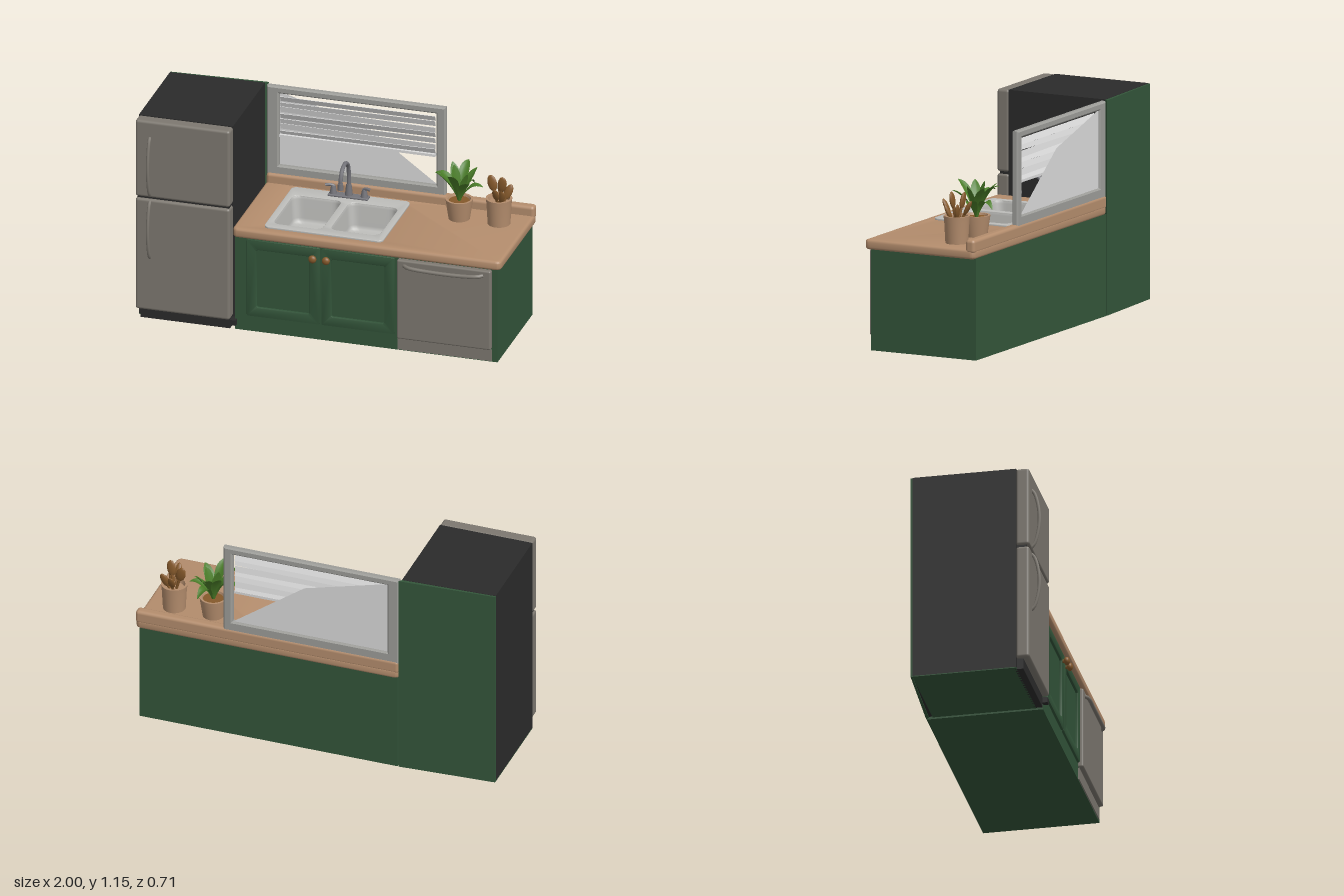
import * as THREE from 'three';
import { toCreasedNormals } from 'three/addons/utils/BufferGeometryUtils.js';
import { RoundedBoxGeometry } from 'three/addons/geometries/RoundedBoxGeometry.js';

const mat = (name, color, side = THREE.FrontSide) => {
  const m = new THREE.MeshStandardMaterial({ color, side });
  m.name = name;
  return m;
};

export function createModel() {
  const tan = mat('tan counter', 0xb48d6d);
  const green = mat('cabinet green', 0x33553a);
  const black = mat('fridge black', 0x2b2b2b);
  const steel = mat('brushed steel', 0x7d7870);
  const white = mat('blind white', 0xdadada, THREE.DoubleSide);
  const grey = mat('frame grey', 0x9c9c98);
  const sinkGrey = mat('sink grey', 0xbcbcb9, THREE.DoubleSide);
  const chrome = mat('tap metal', 0x74747a);
  const wood = mat('wood brown', 0x85592b);
  const leafGreen = mat('leaf green', 0x4a7d28, THREE.DoubleSide);

  const root = new THREE.Group();
  const add = (name, geo, material, x = 0, y = 0, z = 0, parent = root) => {
    const m = new THREE.Mesh(geo, material);
    m.name = name;
    m.position.set(x, y, z);
    parent.add(m);
    return m;
  };
  // box given by its limits, with optional rounded edges
  const block = (name, material, x0, x1, y0, y1, z0, z1, r = 0) => {
    const s = [x1 - x0, y1 - y0, z1 - z0];
    const g = r ? new RoundedBoxGeometry(...s, 3, r) : new THREE.BoxGeometry(...s);
    return add(name, g, material, (x0 + x1) / 2, (y0 + y1) / 2, (z0 + z1) / 2);
  };
  const poly = (pts) => new THREE.Shape(pts.map((p) => new THREE.Vector2(...p)));
  const roundRect = (x0, x1, y0, y1, r) => {
    const s = new THREE.Shape();
    s.absarc(x1 - r, y1 - r, r, 0, Math.PI / 2);
    s.absarc(x0 + r, y1 - r, r, Math.PI / 2, Math.PI);
    s.absarc(x0 + r, y0 + r, r, Math.PI, Math.PI * 1.5);
    s.absarc(x1 - r, y0 + r, r, Math.PI * 1.5, Math.PI * 2);
    s.closePath();
    return s;
  };
  // plan outlines use (x, -z) and are extruded upwards
  const slab = (shape, depth, bevel = 0) => {
    const g = new THREE.ExtrudeGeometry(shape, {
      depth: depth - 2 * bevel, bevelEnabled: bevel > 0, bevelSize: bevel,
      bevelThickness: bevel, bevelOffset: -bevel, bevelSegments: 3, curveSegments: 6,
    });
    g.translate(0, 0, bevel).rotateX(-Math.PI / 2);
    return toCreasedNormals(g, 0.7);
  };
  const tube = (pts, r, n = 20) => new THREE.TubeGeometry(
    new THREE.CatmullRomCurve3(pts.map((p) => new THREE.Vector3(...p))), n, r, 8);

  // Fridge: dark body, green back panel, two doors with bowed handles
  add('fridgeBody', slab(poly([[-1, -0.24], [-0.485, -0.24], [-0.485, 0.335], [-1, 0.315]]), 1.145), black, 0, 0.005);
  add('fridgeBack', slab(poly([[-1, 0.315], [-0.485, 0.335], [-0.47, 0.353], [-1, 0.325]]), 1.148), green);
  block('fridgeUnderside', green, -1, -0.485, 0, 0.005, -0.315, 0.24);
  block('fridgeBase', black, -0.98, -0.49, 0, 0.06, 0.23, 0.275);
  block('fridgeDoor', steel, -1, -0.482, 0.06, 0.7, 0.238, 0.31, 0.015);
  block('freezerDoor', steel, -1, -0.482, 0.71, 1.15, 0.238, 0.31, 0.015);
  block('doorSeal', black, -0.99, -0.49, 0.69, 0.72, 0.235, 0.295);
  block('fridgeHinge', black, -0.485, -0.452, 0.03, 0.06, 0.25, 0.3);
  for (const [name, a, b] of [['fridgeHandle', 0.36, 0.69], ['freezerHandle', 0.72, 1.06]]) {
    const d = b - a;
    add(name, tube([[-0.92, a, 0.3], [-0.92, a + 0.06 * d, 0.32], [-0.92, a + d * 0.35, 0.345],
      [-0.92, a + d * 0.65, 0.345], [-0.92, b - 0.06 * d, 0.32], [-0.92, b, 0.3]], 0.009), steel);
  }

  // Cabinet: closed walls without a lid, so the bowls hang inside
  const body = block('cabinetBody', green, -0.465, 0.975, 0, 0.545, -0.352, 0.272);
  const index = Array.from(body.geometry.index.array);
  index.splice(12, 6);
  body.geometry.setIndex(index);
  body.geometry.clearGroups();
  for (const side of [-1, 1]) {
    const x = 0.008 + side * 0.205;
    const frame = roundRect(-0.2, 0.2, -0.22, 0.22, 0.008);
    frame.holes.push(roundRect(-0.145, 0.145, -0.165, 0.165, 0.008));
    const g = new THREE.ExtrudeGeometry(frame, { depth: 0.008, bevelThickness: 0.006, bevelSize: 0.006, bevelOffset: -0.006, bevelSegments: 2 });
    add('cabinetDoor', toCreasedNormals(g, 0.7), green, x, 0.31, 0.272);
    const knob = add('cabinetKnob', new THREE.SphereGeometry(0.022, 16, 12), wood, 0.008 + side * 0.037, 0.475, 0.308);
    knob.scale.z = 0.75;
    const stem = add('knobStem', new THREE.CylinderGeometry(0.009, 0.009, 0.03, 10), wood, knob.position.x, 0.475, 0.293);
    stem.rotation.x = Math.PI / 2;
  }

  // Dishwasher
  block('dishwasherDoor', steel, 0.43, 0.945, 0.075, 0.53, 0.265, 0.3, 0.01);
  block('dishwasherKick', steel, 0.43, 0.945, 0.005, 0.07, 0.265, 0.278);
  add('dishwasherHandle', tube([[0.47, 0.5, 0.295], [0.49, 0.498, 0.312], [0.6, 0.492, 0.318], [0.78, 0.492, 0.318],
    [0.88, 0.498, 0.312], [0.9, 0.5, 0.295]], 0.011), steel);

  // Countertop with a cut-out, and its backsplash
  const top = roundRect(-0.472, 1, -0.302, 0.355, 0.03);
  top.holes.push(roundRect(-0.3, 0.32, -0.235, 0.255, 0.03));
  add('countertop', slab(top, 0.052, 0.014), tan, 0, 0.54);
  block('backsplash', tan, -0.47, 1, 0.57, 0.645, -0.355, -0.3, 0.018);

  // Double sink
  const bowls = [[-0.28, -0.012, -0.2, 0.175], [0.028, 0.298, -0.185, 0.175]];
  const rim = roundRect(-0.315, 0.335, -0.25, 0.272, 0.03);
  bowls.forEach((b) => rim.holes.push(roundRect(...b, 0.04)));
  add('sinkRim', slab(rim, 0.014, 0.003), sinkGrey, 0, 0.588);
  for (const [x0, x1, y0, y1] of bowls) {
    const cx = (x0 + x1) / 2, cz = -(y0 + y1) / 2;
    const ring = roundRect(x0 - cx, x1 - cx, y0 + cz, y1 + cz, 0.04).getSpacedPoints(64);
    const levels = [[1.01, 0.6], [0.97, 0.585], [0.93, 0.48], [0.89, 0.46], [0.8, 0.452], [0, 0.448]];
    const pos = [], idx = [], n = ring.length;
    levels.forEach(([s, y], i) => ring.forEach((p, j) => {
      pos.push(p.x * s, y, -p.y * s);
      if (i && j) {
        const a = (i - 1) * n + j - 1, c = i * n + j - 1;
        idx.push(a, a + 1, c, a + 1, c + 1, c);
      }
    }));
    const g = new THREE.BufferGeometry();
    g.setAttribute('position', new THREE.Float32BufferAttribute(pos, 3));
    g.setIndex(idx);
    g.computeVertexNormals();
    add('sinkBowl', g, sinkGrey, cx, 0, cz);
    add('sinkDrain', new THREE.CylinderGeometry(0.022, 0.022, 0.006, 20), chrome, cx, 0.453, cz);
  }

  // Gooseneck tap with two lever handles
  const tap = new THREE.Group();
  tap.name = 'tap';
  tap.position.set(0.005, 0.6, -0.235);
  root.add(tap);
  add('tapPlate', new RoundedBoxGeometry(0.22, 0.014, 0.05, 2, 0.006), chrome, 0, 0.006, 0, tap);
  add('tapBase', new THREE.CylinderGeometry(0.014, 0.022, 0.07, 16), chrome, 0, 0.04, 0, tap);
  add('tapSpout', tube([[0, 0.05, 0], [0, 0.14, 0], [0, 0.195, 0.02], [0, 0.222, 0.07], [0, 0.205, 0.12],
    [0, 0.165, 0.145], [0, 0.13, 0.15]], 0.0115, 32), chrome, 0, 0, 0, tap);
  add('tapNozzle', new THREE.CylinderGeometry(0.014, 0.016, 0.035, 14), chrome, 0, 0.125, 0.15, tap);
  for (const s of [-1, 1]) {
    add('tapHandleBase', new THREE.CylinderGeometry(0.012, 0.021, 0.05, 14), chrome, s * 0.085, 0.03, 0, tap);
    add('tapLever', tube([[s * 0.08, 0.055, 0], [s * 0.1, 0.062, 0.006], [s * 0.125, 0.06, 0.014]], 0.008, 8), chrome, 0, 0, 0, tap);
  }

  // Window: bevelled frame, broken pane and drawn-up blind
  const frame = poly([[-0.47, 0.625], [0.51, 0.625], [0.51, 1.145], [-0.47, 1.145]]);
  frame.holes.push(poly([[-0.405, 0.69], [-0.405, 1.105], [0.46, 1.105], [0.46, 0.69]]));
  const frameGeo = new THREE.ExtrudeGeometry(frame, { depth: 0.02, bevelThickness: 0.008, bevelSize: 0.008, bevelOffset: -0.008, bevelSegments: 1 });
  add('windowFrame', frameGeo, grey, 0, 0, -0.342);
  add('windowPane', new THREE.ShapeGeometry(poly([[-0.415, 0.68], [0.47, 0.68], [0.06, 0.98], [-0.415, 1.11]])), white, 0, 0, -0.338);
  for (let i = 0; i < 7; i++) {
    const slat = add('blindSlat', new THREE.BoxGeometry(0.85, 0.034, 0.003), white, 0.028, 1.075 - i * 0.032, -0.322);
    slat.rotation.set(0.45 - 0.12 * (i % 3), 0, 0.012 * Math.sin(i * 2.3));
  }
  block('blindRail', white, -0.4, 0.455, 0.858, 0.872, -0.33, -0.31);

  // Pots: a solid of revolution with rim and inner wall
  const pot = (name, x, z, r0, r1, h) => add(name, toCreasedNormals(new THREE.LatheGeometry(
    [[0, 0], [r0, 0], [r1, h * 0.75], [r1 + 0.004, h], [r1 - 0.008, h], [r1 - 0.014, h * 0.85], [0, h * 0.85]]
      .map((p) => new THREE.Vector2(...p)), 28), 0.7), tan, x, 0.59, z);
  pot('plantPot', 0.63, -0.17, 0.056, 0.069, 0.115);
  add('soil', new THREE.CylinderGeometry(0.055, 0.055, 0.006, 20), wood, 0.63, 0.692, -0.17);
  pot('utensilPot', 0.848, -0.17, 0.06, 0.066, 0.148);

  // Leaves: arched, folded blades around the pot: angle, reach, rise, sag
  const leaves = [[0.1, 0.12, 0.17, 0.08], [0.8, 0.1, 0.19, 0.02], [1.5, 0.13, 0.26, 0.08], [2.2, 0.1, 0.2, 0.02],
    [2.9, 0.14, 0.24, 0.11], [3.7, 0.12, 0.2, 0.02], [4.5, 0.12, 0.25, 0.06], [5.4, 0.12, 0.19, 0.04],
    [2.5, 0.04, 0.2, 0.01], [5.8, 0.05, 0.18, 0.01], [1.2, 0.12, 0.2, 0.14]];
  for (const [angle, reach, rise, sag] of leaves) {
    const g = new THREE.PlaneGeometry(1, 1, 4, 10);
    const p = g.attributes.position;
    for (let i = 0; i < p.count; i++) {
      const s = p.getX(i) * 2, t = p.getY(i) + 0.5;
      const w = 0.003 + 0.025 * Math.sin(Math.PI * t ** 1.3) * (t < 1 ? 1 : 0);
      p.setXYZ(i, 0.008 + reach * t ** 1.4, rise * t - sag * t ** 3 + Math.abs(s) * w * 0.4, s * w);
    }
    g.computeVertexNormals();
    add('leaf', g, leafGreen, 0.63, 0.69, -0.17).rotation.y = angle;
  }

  // Wooden utensils leaning outwards: tip offset x, z, length, head width
  for (const [dx, dz, len, w] of [[-0.06, -0.02, 0.23, 0.026], [0.03, 0.02, 0.235, 0.025], [0.07, -0.04, 0.19, 0.022],
    [0.0, 0.1, 0.21, 0.018], [-0.01, -0.1, 0.21, 0.02], [0.045, 0.06, 0.18, 0.016]]) {
    const spoon = new THREE.Group();
    spoon.name = 'woodenSpoon';
    spoon.position.set(0.848 - dx * 0.2, 0.625, -0.17 - dz * 0.2);
    spoon.quaternion.setFromUnitVectors(new THREE.Vector3(0, 1, 0), new THREE.Vector3(dx * 1.1, len, dz * 1.1).normalize());
    root.add(spoon);
    add('spoonHandle', new THREE.CylinderGeometry(0.008, 0.007, len - 0.04, 8), wood, 0, (len - 0.04) / 2, 0, spoon);
    add('spoonHead', new THREE.SphereGeometry(1, 14, 10), wood, 0, len - 0.035, 0, spoon).scale.set(w, 0.045, 0.011);
  }
  return root;
}
